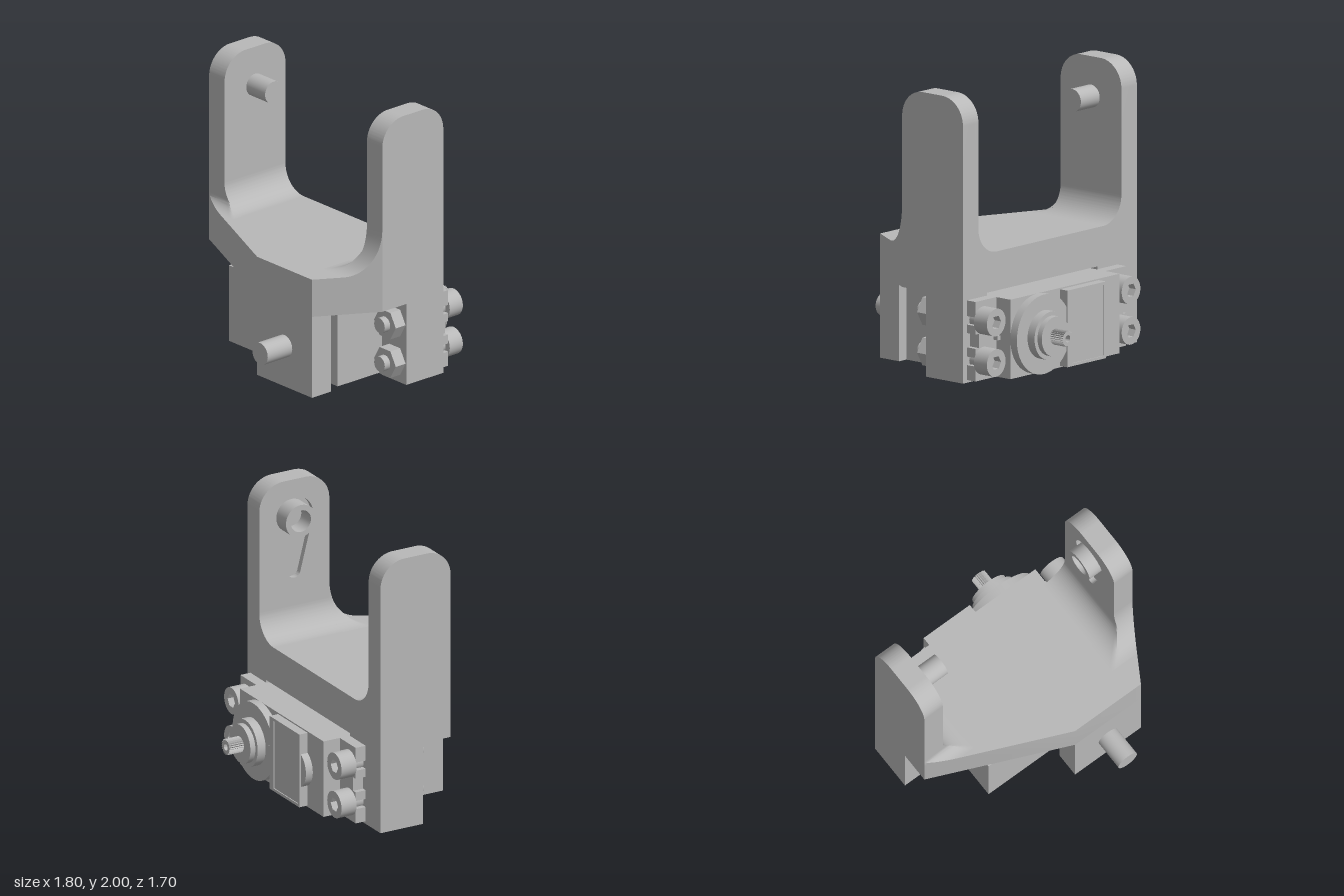
import * as THREE from 'three';
import { toCreasedNormals, mergeVertices } from 'three/addons/utils/BufferGeometryUtils.js';

const grey = new THREE.MeshStandardMaterial({ color: 0xb8b8b8 });
grey.name = 'plain grey';

export function createModel() {
  const model = new THREE.Group();
  const add = (name, geo, parent = model) => {
    const m = new THREE.Mesh(geo, grey);
    m.name = name;
    parent.add(m);
    return m;
  };
  const group = (name) => {
    const g = new THREE.Group();
    g.name = name;
    model.add(g);
    return g;
  };
  // box given by its min and max corners
  const box = (name, x0, x1, y0, y1, z0, z1, parent) =>
    add(name, new THREE.BoxGeometry(x1 - x0, y1 - y0, z1 - z0)
      .translate((x0 + x1) / 2, (y0 + y1) / 2, (z0 + z1) / 2), parent);
  const extrude = (shape, depth) => toCreasedNormals(
    new THREE.ExtrudeGeometry(shape, { depth, bevelEnabled: false, curveSegments: 20 }), 0.5);
  // rods along z and along x
  const rodZ = (name, r, x, y, z0, z1, parent, sides = 40) =>
    add(name, new THREE.CylinderGeometry(r, r, z1 - z0, sides).rotateX(Math.PI / 2)
      .translate(x, y, (z0 + z1) / 2), parent);
  // ring or socketed shape: a disc with a hole, extruded along z
  const ring = (r, hole, depth, holeSides = 32) => {
    const s = new THREE.Shape().absarc(0, 0, r, 0, Math.PI * 2);
    const pts = [];
    for (let i = 0; i < holeSides; i++) {
      const a = i / holeSides * Math.PI * 2;
      pts.push(new THREE.Vector2(Math.cos(a) * hole, Math.sin(a) * hole));
    }
    s.holes.push(new THREE.Path(pts));
    return extrude(s, depth);
  };
  const poly = (pts) => new THREE.Shape(pts.map(([x, y]) => new THREE.Vector2(x, y)));

  // ---- bracket ----
  const bracket = group('bracket');
  const deckY = 0.875, fr = 0.19;
  add('deck', extrude(poly([[-0.9, 0.36], [-0.9, -0.2], [0.08, -0.625], [0.65, -0.625], [0.9, -0.2], [0.9, 0.36]]),
    deckY - 0.6).rotateX(-Math.PI / 2).translate(0, 0.6, 0), bracket);
  box('rightLeg', -0.9, -0.49, 0, 0.6, -0.36, -0.02, bracket);
  box('leftLeg', 0.65, 0.9, 0, 0.6, -0.36, -0.02, bracket);
  box('frontTab', 0.08, 0.65, 0, 0.6, 0.45, 0.625, bracket);
  rodZ('frontPin', 0.08, 0.365, 0.3, 0.62, 0.85, bracket);

  // arm outline, drawn with u = -z
  const armShape = () => {
    const s = new THREE.Shape();
    s.moveTo(-0.2, deckY);
    s.lineTo(0.36, deckY);
    s.lineTo(0.36, 1.81);
    s.absarc(0.17, 1.81, 0.19, 0, Math.PI / 2);
    s.absarc(-0.01, 1.81, 0.19, Math.PI / 2, Math.PI);
    s.closePath();
    return s;
  };
  const arm = (name, shape, x0, x1) =>
    add(name, extrude(shape, x1 - x0).rotateY(Math.PI / 2).translate(x0, 0, 0), bracket);
  arm('rightArm', armShape(), -0.9, -0.74);
  arm('leftArm', armShape(), 0.78, 0.9);
  // inner face of the left arm has a teardrop recess
  const recessed = armShape();
  const drop = new THREE.Path();
  const tilt = Math.asin((0.15 - 0.05) / 0.4);
  drop.absarc(0.08, 1.72, 0.15, -tilt, Math.PI + tilt);
  drop.absarc(0.08, 1.32, 0.05, Math.PI + tilt, Math.PI * 2 - tilt);
  recessed.holes.push(drop);
  arm('leftArmInnerFace', recessed, 0.74, 0.78);
  add('armPin', new THREE.CylinderGeometry(0.08, 0.08, 0.2, 40).rotateZ(Math.PI / 2)
    .translate(-0.645, 1.72, -0.08), bracket);
  add('armBoss', ring(0.12, 0.08, 0.13).rotateY(Math.PI / 2).translate(0.65, 1.72, -0.08), bracket);

  // concave fillets between arms and deck
  for (const s of [-1, 1]) {
    const f = new THREE.Shape();
    f.moveTo(0.745 * s, deckY - 0.01);
    f.lineTo(0.745 * s, deckY + fr);
    f.lineTo(0.74 * s, deckY + fr);
    f.absarc(0.55 * s, deckY + fr, fr, s > 0 ? 0 : Math.PI, s > 0 ? -Math.PI / 2 : Math.PI * 1.5, s > 0);
    f.lineTo(0.55 * s, deckY - 0.01);
    add('armFillet', extrude(f, 0.56).translate(0, 0, -0.36), bracket);
  }

  // flared web in front of an arm, trimmed by the slanted deck side
  const web = (name, s, slope, rz, ry) => {
    const pos = [], idx = [], rows = 14, cols = 12, n = cols + 4;
    for (let j = 0; j <= rows; j++) {
      const a = j / rows * Math.PI / 2;
      const z = 0.2 + rz * (1 - Math.cos(a)), h = deckY + ry * (1 - Math.sin(a));
      const xo = 0.9 - (z - 0.2) * slope;
      for (let i = 0; i < n; i++) {
        const c = 0.55 + fr * Math.sin(Math.min(i / cols, 1) * Math.PI / 2);
        const x = i > cols + 1 ? xo : Math.min(c, xo);
        const d = Math.min(x - 0.55, fr);
        let y = Math.min(h, deckY + fr - Math.sqrt(Math.max(0, fr * fr - d * d)));
        if (i > cols && xo > 0.74) y = h;
        if (i === n - 1) y = deckY;
        pos.push(s * x, y, z);
      }
    }
    for (let j = 0; j < rows; j++) for (let i = 0; i < n - 1; i++) {
      const a = j * n + i, b = a + n;
      if (s > 0) idx.push(a, b, a + 1, b, b + 1, a + 1);
      else idx.push(a, a + 1, b, b, a + 1, b + 1);
    }
    const g = new THREE.BufferGeometry();
    g.setAttribute('position', new THREE.Float32BufferAttribute(pos, 3));
    g.setIndex(idx);
    add(name, toCreasedNormals(mergeVertices(g), 0.6), bracket);
  };
  web('leftWeb', 1, 0.25 / 0.425, 0.23, 0.325);
  web('rightWeb', -1, 0.98 / 0.425, 0.1, 0.08);

  // ---- motor ----
  const motor = group('motor');
  box('motorBody', -0.485, 0.645, 0.02, 0.58, -0.57, 0.385, motor);
  // slotted mounting flanges
  for (const [s, x] of [[-1, -0.485], [1, 0.645]]) {
    const p = [[0, 0.02], [0.215, 0.02], [0.215, 0.125], [0.13, 0.125], [0.13, 0.185], [0.215, 0.185],
      [0.215, 0.25], [0.18, 0.25], [0.18, 0.35], [0.215, 0.35],
      [0.215, 0.41], [0.13, 0.41], [0.13, 0.47], [0.215, 0.47], [0.215, 0.58], [0, 0.58]];
    add('flange', extrude(poly(p.map(([u, v]) => [x + s * u, v])), 0.08).translate(0, 0, -0.44), motor);
    box('flangeRib', Math.min(x, x + s * 0.03), Math.max(x, x + s * 0.03), 0.285, 0.315, -0.48, -0.44, motor);
  }
  // end cover, label panel and output shaft
  const sx = 0.365, sy = 0.3;
  rodZ('coverDisc', 0.28, sx, sy, -0.63, -0.56, motor, 64);
  rodZ('coverBump', 0.14, -0.2, sy, -0.625, -0.56, motor);
  rodZ('coverButton', 0.045, 0.14, sy, -0.637, -0.56, motor);
  box('labelPanel', -0.27, 0.13, 0.03, 0.57, -0.63, -0.56, motor);
  const frame = poly([[-0.27, 0.03], [0.13, 0.03], [0.13, 0.57], [-0.27, 0.57]]);
  frame.holes.push(new THREE.Path([[-0.25, 0.05], [-0.25, 0.55], [0.08, 0.55], [0.08, 0.05]]
    .map(([x, y]) => new THREE.Vector2(x, y))));
  add('labelFrame', extrude(frame, 0.008).translate(0, 0, -0.637), motor);
  rodZ('shaftCollar', 0.17, sx, sy, -0.695, -0.62, motor, 48);
  rodZ('shaftStep', 0.14, sx, sy, -0.735, -0.69, motor, 48);
  const teeth = [];
  for (let i = 0; i < 48; i++) {
    const a = i / 48 * Math.PI * 2, r = i % 2 ? 0.048 : 0.057;
    teeth.push([Math.cos(a) * r, Math.sin(a) * r]);
  }
  const spline = poly(teeth);
  spline.holes.push(new THREE.Path().absarc(0, 0, 0.025, 0, Math.PI * 2));
  add('splineShaft', extrude(spline, 0.12).translate(sx, sy, -0.85), motor);

  // ---- bolts ----
  for (const x of [-0.615, 0.78]) for (const y of [0.155, 0.44]) {
    const bolt = group('bolt');
    rodZ('boltShank', 0.055, x, y, -0.5, 0.12, bolt, 32);
    add('boltHead', ring(0.097, 0.05, 0.12, 6).translate(x, y, -0.56), bolt);
    add('nut', toCreasedNormals(new THREE.CylinderGeometry(0.113, 0.113, 0.09, 6), 0.5)
      .rotateY(Math.PI / 6).rotateX(Math.PI / 2).rotateZ(0).translate(x, y, 0.025), bolt)
      .geometry.translate(-x, -y, 0).rotateZ(Math.PI / 6 * nutTurn).translate(x, y, 0);
  }
  return model;
}

// a six-sided cylinder already has corners on its x axis after the first turn
const nutTurn = 0;
